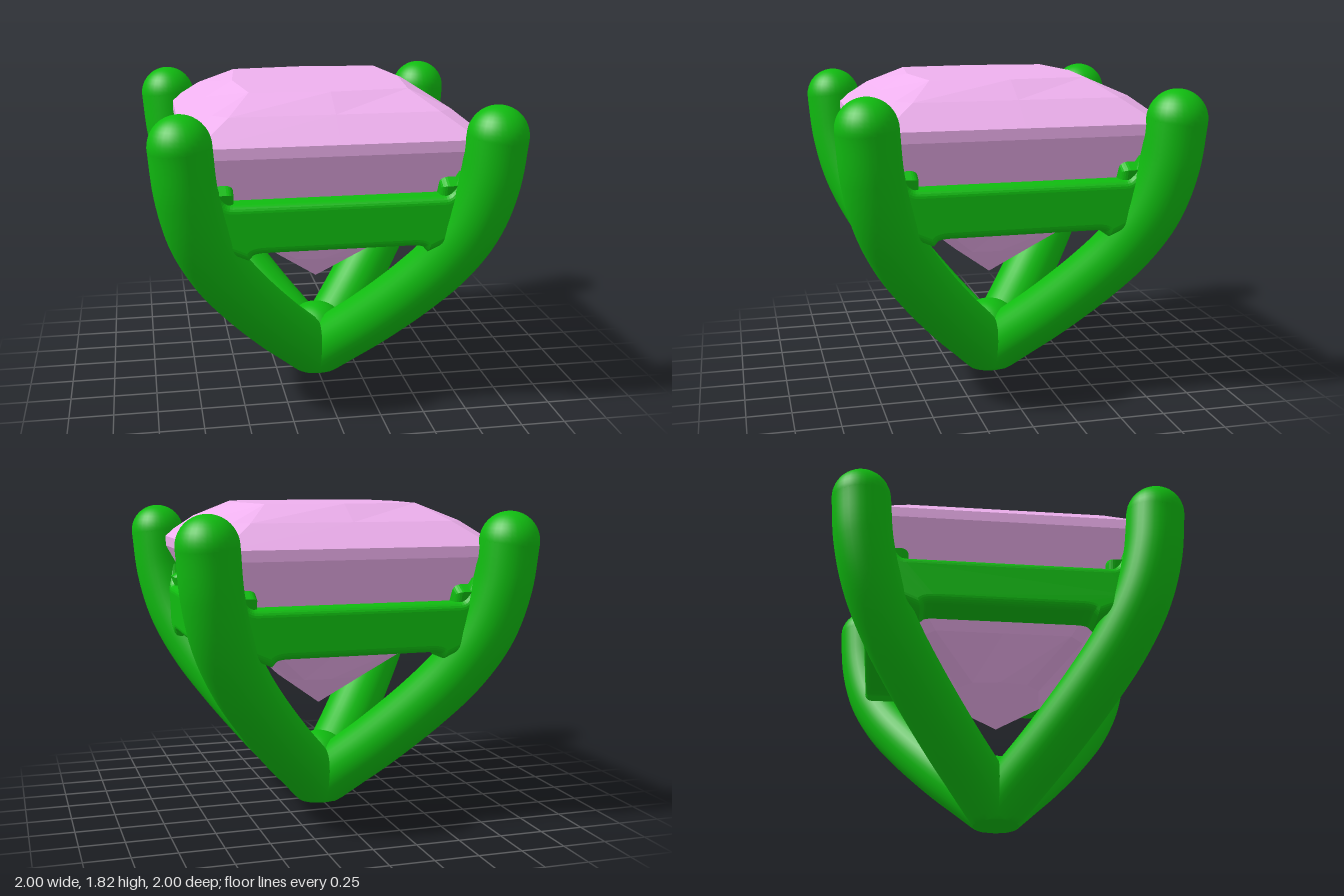
import * as THREE from 'three';

const R = 0.165; // prong radius
const green = new THREE.MeshStandardMaterial({ color: 0x10bc10 });
const pink = new THREE.MeshStandardMaterial({ color: 0xeeb0ee, flatShading: true });

function add(parent, name, geometry, material) {
  const mesh = new THREE.Mesh(geometry, material);
  mesh.name = name;
  parent.add(mesh);
  return mesh;
}

// Cuts the underside flat at the ground
function flattenBottom(geometry) {
  const p = geometry.attributes.position, n = geometry.attributes.normal;
  for (let i = 0; i < p.count; i++) {
    if (p.getY(i) < 0) {
      p.setY(i, 0);
      n.setXYZ(i, 0, -1, 0);
    }
  }
  return geometry;
}

// Curved prong running up one diagonal, with a round tip
function createProng() {
  const prong = new THREE.Group();
  prong.name = 'prong';
  const path = new THREE.CatmullRomCurve3([
    [0, 0.1], [0.14, 0.255], [0.28, 0.41], [0.49, 0.67], [0.64, 0.89],
    [0.75, 1.12], [0.81, 1.36], [0.835, 1.615],
  ].map(([d, y]) => new THREE.Vector3(d, y, d)));
  add(prong, 'prongStem', flattenBottom(new THREE.TubeGeometry(path, 48, R, 32)), green);
  add(prong, 'prongTip', new THREE.SphereGeometry(R, 32, 20), green).position.copy(path.getPoint(1));
  return prong;
}

// Cross rail whose ends flare into the prongs
function createRailGeometry() {
  const b = 0.04, top = 1.28 - b, low = 1.01 + b;
  const s = new THREE.Shape();
  s.moveTo(-0.4, low);
  s.lineTo(0.4, low);
  s.quadraticCurveTo(0.48, low, 0.5, low - 0.03);
  s.lineTo(0.68, 1.1);
  s.lineTo(0.74, 1.32);
  s.lineTo(0.68, 1.36);
  s.quadraticCurveTo(0.655, top, 0.57, top);
  s.lineTo(-0.57, top);
  s.quadraticCurveTo(-0.655, top, -0.68, 1.36);
  s.lineTo(-0.74, 1.32);
  s.lineTo(-0.68, 1.1);
  s.lineTo(-0.5, low - 0.03);
  s.quadraticCurveTo(-0.48, low, -0.4, low);
  const g = new THREE.ExtrudeGeometry(s, {
    depth: 0.16, bevelSize: b, bevelThickness: b, bevelSegments: 5, curveSegments: 8,
  });
  return g.translate(0, 0, 0.6);
}

// Faceted square gem: rings of [height, half width, half side length, bulge]
function createGemGeometry() {
  const rings = [
    [0.6, 0, 0, 0],
    [0.79, 0.24, 0.16, 0.02],
    [1.0, 0.47, 0.39, 0],
    [1.28, 0.67, 0.6, 0],
    [1.53, 0.81, 0.75, 0],
    [1.59, 0.81, 0.75, 0],
    [1.72, 0.65, 0.57, 0],
    [1.815, 0.44, 0.44, 0.05],
    [1.815, 0, 0, 0],
  ];
  const positions = [], index = [], N = 12;
  for (const [y, h, c, bulge] of rings) {
    for (let q = 0; q < 4; q++) {
      for (const t of [1, 0, -1]) {
        let x = h + (t === 0 ? bulge : 0), z = t * c;
        for (let k = 0; k < q; k++) [x, z] = [z, -x];
        positions.push(x, y, z);
      }
    }
  }
  for (let r = 0; r < rings.length - 1; r++) {
    for (let i = 0; i < N; i++) {
      const a = r * N + i, b = r * N + (i + 1) % N;
      if (r > 0) index.push(a, b, b + N);
      else index.push(a, b + N, a + N);
      if (r > 0 && r < rings.length - 2) index.push(a, b + N, a + N);
    }
  }
  const g = new THREE.BufferGeometry();
  g.setAttribute('position', new THREE.Float32BufferAttribute(positions, 3));
  g.setIndex(index);
  g.computeVertexNormals();
  return g;
}

export function createModel() {
  const model = new THREE.Group();
  model.name = 'gemSetting';

  // Four prongs and the rails between them
  const railGeometry = createRailGeometry();
  for (let i = 0; i < 4; i++) {
    const prong = createProng();
    prong.rotation.y = i * Math.PI / 2;
    model.add(prong);
    add(model, 'rail', railGeometry, green).rotation.y = i * Math.PI / 2;
  }

  // Flat foot and the fillet where the prongs meet
  add(model, 'foot', flattenBottom(new THREE.SphereGeometry(R, 32, 24).translate(0, 0.1, 0)), green);
  add(model, 'prongFillet', new THREE.SphereGeometry(0.19, 32, 24), green).position.y = 0.23;

  add(model, 'gem', createGemGeometry(), pink);
  return model;
}
